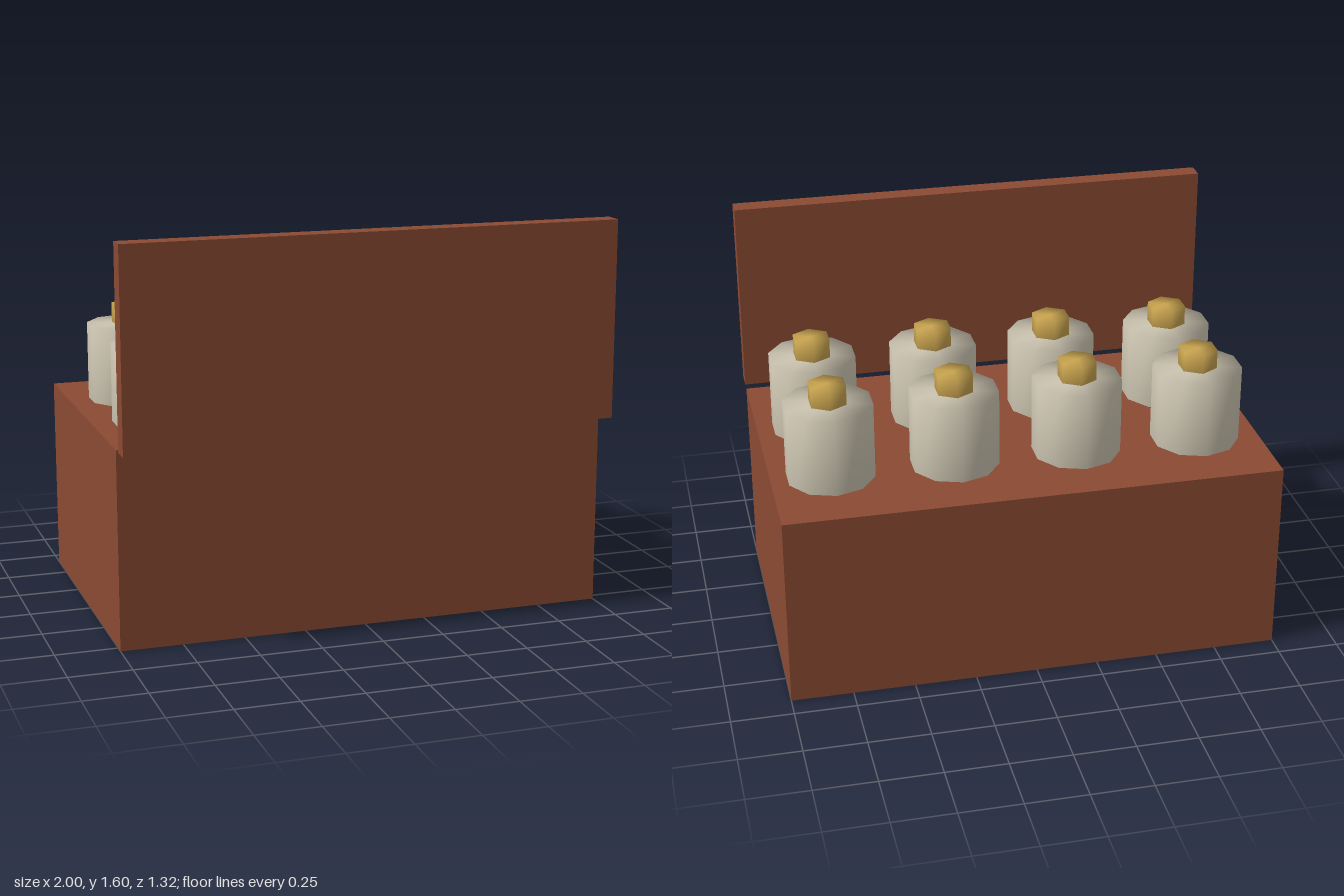
import * as THREE from 'three';
import { mergeVertices } from 'three/addons/utils/BufferGeometryUtils.js';

// Low-poly cylinder with normals smoothed across all edges
function smoothCylinder(radius, height, sides) {
  const g = new THREE.CylinderGeometry(radius, radius, height, sides);
  g.deleteAttribute('normal');
  g.deleteAttribute('uv');
  const merged = mergeVertices(g);
  merged.computeVertexNormals();
  return merged;
}

export function createModel() {
  const model = new THREE.Group();
  const wood = new THREE.MeshStandardMaterial({ color: 0x8b4a33 });
  const clay = new THREE.MeshStandardMaterial({ color: 0xd0c8b4 });
  const gold = new THREE.MeshStandardMaterial({ color: 0xcaa550 });

  function add(parent, name, geometry, material, x, y, z) {
    const mesh = new THREE.Mesh(geometry, material);
    mesh.name = name;
    mesh.position.set(x, y, z);
    parent.add(mesh);
  }

  // Solid crate and the upright lid panel in front of it
  add(model, 'crate', new THREE.BoxGeometry(2, 0.8, 1.2), wood, 0, 0.4, -0.06);
  add(model, 'lid', new THREE.BoxGeometry(2, 0.8, 0.08), wood, 0, 1.2, 0.62);

  // Two rows of four stoppered bottles, partly sunk into the crate
  const bodyGeometry = smoothCylinder(0.18, 0.48, 10);
  const stopperGeometry = smoothCylinder(0.08, 0.12, 6);
  for (const z of [-0.3, 0.14]) {
    for (let i = 0; i < 4; i++) {
      const bottle = new THREE.Group();
      bottle.name = 'bottle';
      bottle.position.set(-0.74 + i * 0.5, 0, z);
      add(bottle, 'bottleBody', bodyGeometry, clay, 0, 0.88, 0);
      add(bottle, 'stopper', stopperGeometry, gold, 0, 1.14, 0);
      model.add(bottle);
    }
  }
  return model;
}
